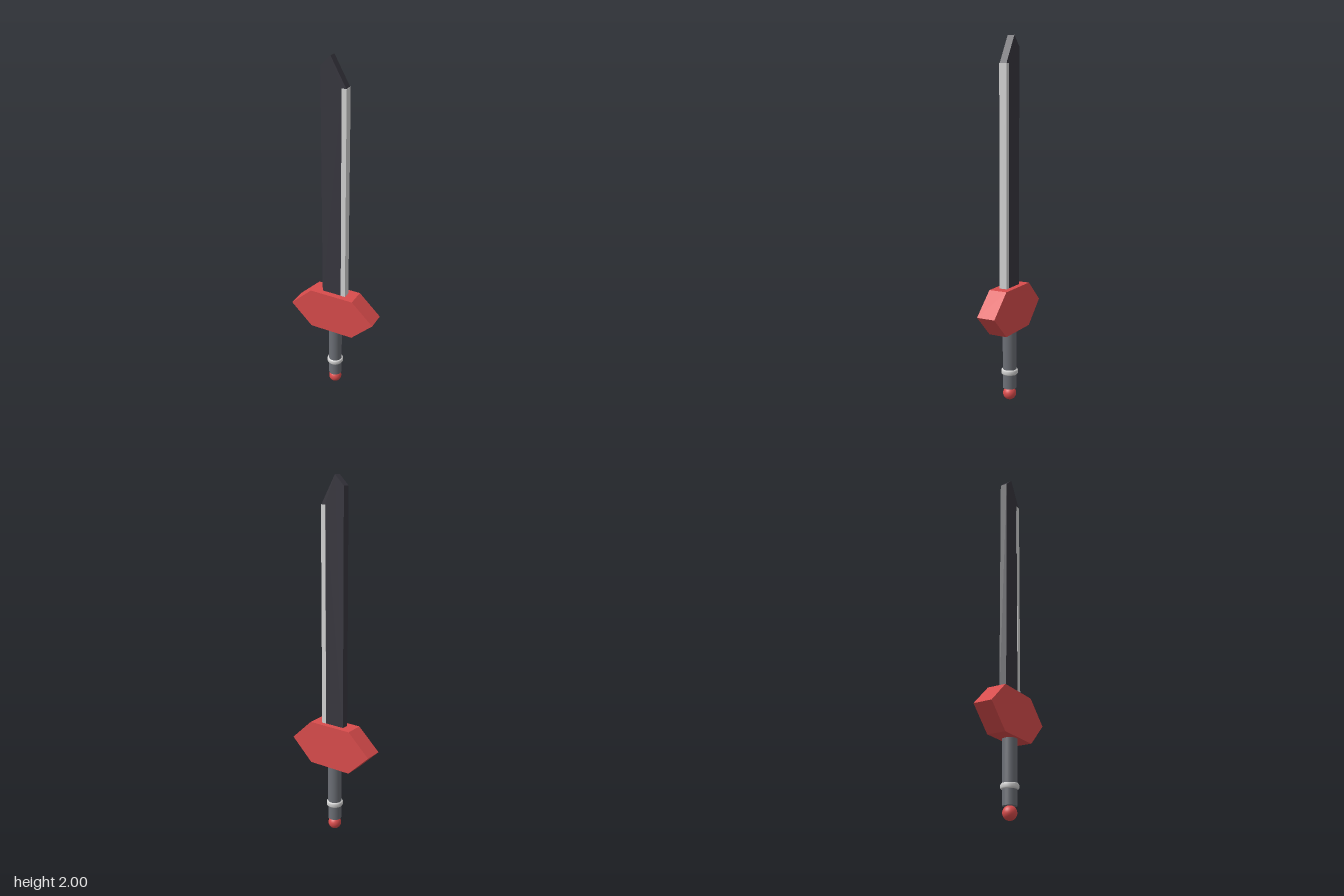
import * as THREE from 'three';

const mat = (name, color) => {
  const m = new THREE.MeshStandardMaterial({ color });
  m.name = name;
  return m;
};

export function createModel() {
  const red = mat('red', 0xd94c4c);
  const dark = mat('dark steel', 0x38373f);
  const silver = mat('silver', 0xd2d2d2);
  const grey = mat('grip grey', 0x6c6f76);

  const model = new THREE.Group();
  model.name = 'sword';
  const add = (name, geometry, material, x = 0, y = 0, z = 0) => {
    const mesh = new THREE.Mesh(geometry, material);
    mesh.name = name;
    mesh.position.set(x, y, z);
    model.add(mesh);
    return mesh;
  };

  // Flat outline in x and y, extruded evenly about z = 0
  const plate = (points, depth) => {
    const shape = new THREE.Shape(points.map(([x, y]) => new THREE.Vector2(x, y)));
    return new THREE.ExtrudeGeometry(shape, { depth, bevelEnabled: false })
      .translate(0, 0, -depth / 2);
  };

  // Blade with an off-centre tip that overhangs the cutting edge
  add('blade', plate([
    [-0.07, 0.6], [0.046, 0.6], [0.046, 1.85], [0.07, 1.85], [-0.015, 2], [-0.07, 1.945],
  ], 0.041), dark);

  // Pale cutting edge along the model's left side
  add('cuttingEdge', new THREE.BoxGeometry(0.027, 1.25, 0.044), silver, 0.0585, 1.225);

  // Hexagonal crossguard
  add('guard', plate([
    [-0.258, 0.53], [-0.13, 0.405], [0.13, 0.405],
    [0.258, 0.53], [0.13, 0.652], [-0.13, 0.652],
  ], 0.105), red);

  // Round grip
  add('grip', new THREE.CylinderGeometry(0.039, 0.038, 0.345, 32), grey, 0, 0.2425);

  // Rounded collar around the grip
  const collar = [[0.036, -0.015], [0.043, -0.014], [0.047, -0.008],
    [0.047, 0.008], [0.043, 0.014], [0.036, 0.015]];
  add('gripRing', new THREE.LatheGeometry(collar.map(([r, y]) => new THREE.Vector2(r, y)), 32),
    silver, 0, 0.165);

  // Ball pommel
  add('pommel', new THREE.SphereGeometry(0.037, 32, 20), red, 0, 0.037);

  return model;
}
